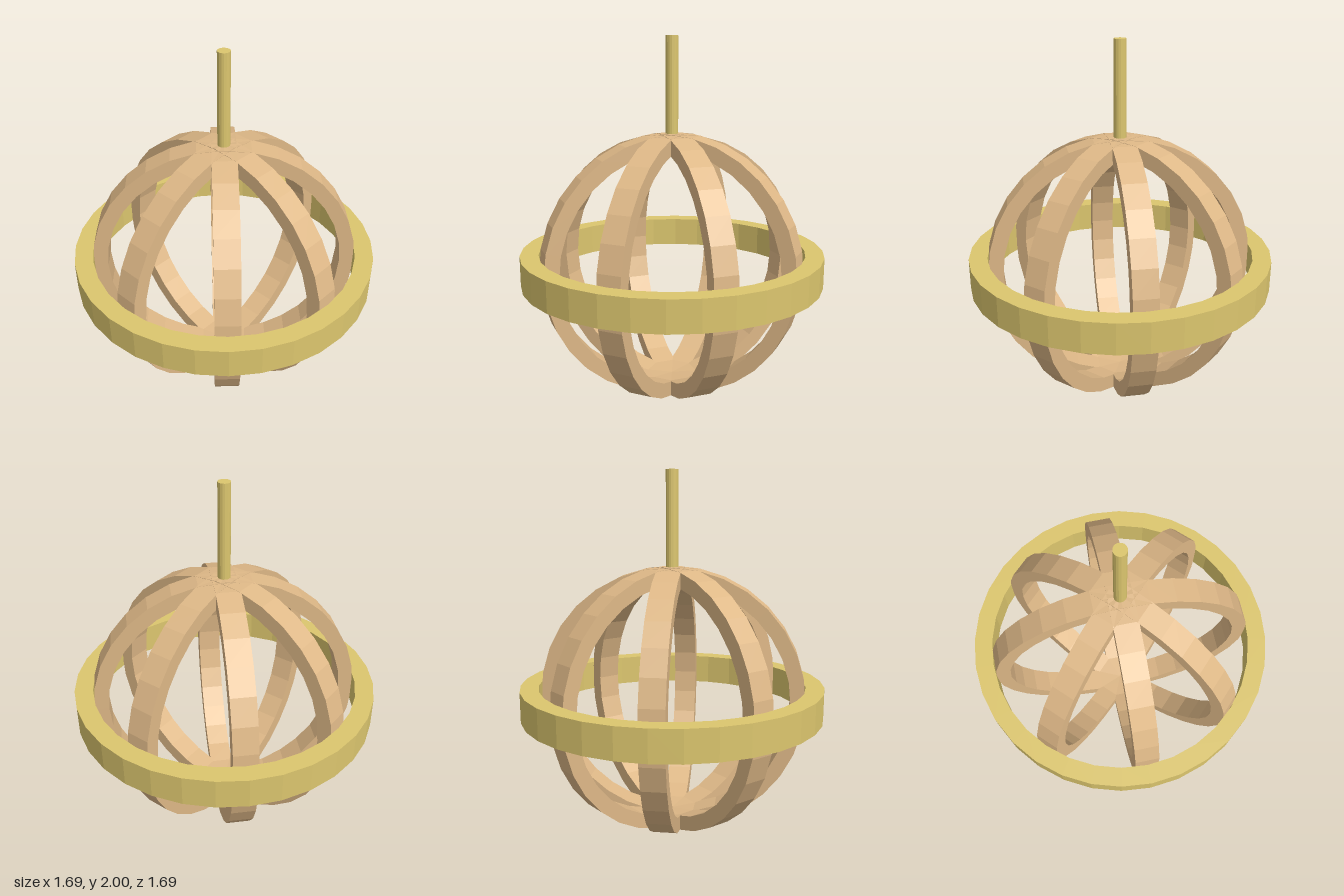
import * as THREE from 'three';

const wood = new THREE.MeshStandardMaterial({ color: 0xdeb887, flatShading: true });
const brass = new THREE.MeshStandardMaterial({ color: 0xdcc66e, flatShading: true });

const RADIUS = 0.742;   // outer radius of the cage
const CENTER_Y = 0.742;

// Flat hoop around the y axis with a rectangular cross-section
function hoop(inner, outer, width) {
  const h = width / 2;
  const profile = [[outer, -h], [outer, h], [inner, h], [inner, -h], [outer, -h]]
    .map(([r, y]) => new THREE.Vector2(r, y));
  const geometry = new THREE.LatheGeometry(profile, 32).toNonIndexed();
  geometry.computeVertexNormals();
  return geometry;
}

export function createModel() {
  const model = new THREE.Group();
  model.name = 'hoopCage';

  const add = (name, geometry, material, y) => {
    const mesh = new THREE.Mesh(geometry, material);
    mesh.name = name;
    mesh.position.y = y;
    model.add(mesh);
    return mesh;
  };

  // Four upright wooden hoops crossing at the poles
  const uprightGeometry = hoop(0.66, RADIUS, 0.132).rotateX(Math.PI / 2);
  for (let i = 0; i < 4; i++) {
    add(`uprightHoop${i + 1}`, uprightGeometry, wood, CENTER_Y).rotation.y = (i * Math.PI) / 4;
  }

  // Brass band around the equator
  add('equatorBand', hoop(RADIUS, 0.844, 0.17), brass, 0.745);

  // Hanging rod, set into the top of the cage
  const bottom = 1.45, top = 2;
  add('hangingRod', new THREE.CylinderGeometry(0.034, 0.034, top - bottom, 16), brass, (top + bottom) / 2);

  return model;
}
